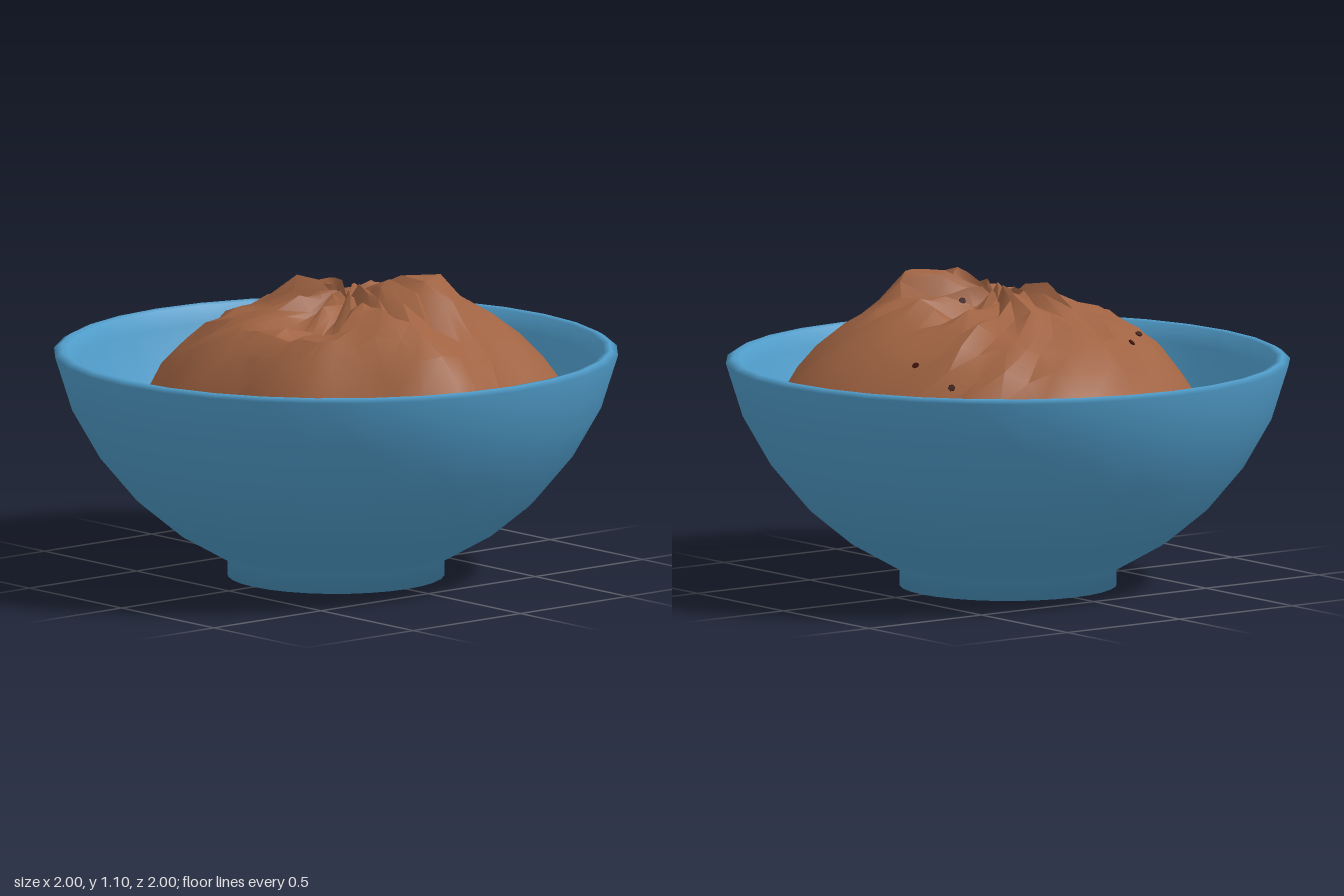
import * as THREE from 'three';
import { toCreasedNormals } from 'three/addons/utils/BufferGeometryUtils.js';

// Heap: pole position, outline radius every 15 degrees from +x towards +z
const CX = -0.03, CZ = 0.1;
const OUTLINE = [0.83, 0.85, 0.84, 0.81, 0.74, 0.75, 0.77, 0.80, 0.72, 0.71, 0.68, 0.64,
  0.63, 0.69, 0.73, 0.76, 0.77, 0.79, 0.81, 0.82, 0.80, 0.79, 0.80, 0.79];
// Heap cross-section: fraction of the outline radius, height
const SECTION = [[0.07, 1.015], [0.15, 1.015], [0.25, 1.005], [0.4, 0.975], [0.53, 0.94],
  [0.65, 0.895], [0.78, 0.82], [0.88, 0.73], [0.96, 0.64], [1, 0.56], [0.72, 0.27]];
// Lumps and hollows: x, z, height, width
const LUMPS = [[0.15, 0.38, 0.1, 0.09], [0.04, 0.3, 0.05, 0.1], [-0.27, 0.24, -0.08, 0.1],
  [-0.22, 0.42, 0.07, 0.1], [-0.45, 0.3, 0.06, 0.1], [-0.1, 0.78, 0.1, 0.12], [0.3, 0.26, 0.04, 0.12],
  [-0.07, -0.06, 0.04, 0.07], [0.17, 0.04, -0.05, 0.07], [0.25, -0.08, 0.03, 0.1], [-0.48, 0.02, 0.05, 0.09]];
const COLUMNS = 40;

function seeded(seed) {
  return () => {
    seed = (seed * 1664525 + 1013904223) >>> 0;
    return seed / 4294967296 - 0.5;
  };
}

function outlineAt(angle) {
  const f = ((angle / (Math.PI * 2)) * 24 + 24) % 24;
  const i = Math.floor(f);
  return THREE.MathUtils.lerp(OUTLINE[i % 24], OUTLINE[(i + 1) % 24], f - i);
}

function heapGeometry() {
  const random = seeded(11);
  const positions = [CX, 1.0, CZ];
  const index = [];
  SECTION.forEach(([t, height], ring) => {
    const rough = ring < 8 ? 1 : 0.35;
    for (let c = 0; c < COLUMNS; c++) {
      const twist = ring < 9 ? random() * 0.09 : 0;
      const angle = (c / COLUMNS) * Math.PI * 2 + twist;
      const r = outlineAt(angle) * (t + (ring < 8 ? random() * 0.035 : 0));
      const x = CX + Math.cos(angle) * r, z = CZ + Math.sin(angle) * r;
      let y = height + random() * 0.045 * rough;
      // pinched folds running out from the pole
      if (ring < 4) y += 0.022 * Math.sin(angle * 9 + ring * 0.4);
      for (const [lx, lz, h, w] of LUMPS) {
        if (ring < 9) y += h * Math.exp(-((x - lx) ** 2 + (z - lz) ** 2) / (2 * w * w));
      }
      positions.push(x, Math.min(y, 1.1), z);
    }
  });
  const at = (ring, c) => 1 + ring * COLUMNS + (c % COLUMNS);
  for (let c = 0; c < COLUMNS; c++) {
    index.push(0, at(0, c + 1), at(0, c));
    for (let ring = 0; ring < SECTION.length - 1; ring++) {
      const a = at(ring, c), b = at(ring, c + 1), d = at(ring + 1, c), e = at(ring + 1, c + 1);
      index.push(a, b, e, a, e, d);
    }
  }
  const geometry = new THREE.BufferGeometry();
  geometry.setAttribute('position', new THREE.Float32BufferAttribute(positions, 3));
  geometry.setIndex(index);
  return toCreasedNormals(geometry, 0.65);
}

export function createModel() {
  const blue = new THREE.MeshStandardMaterial({ color: 0x509dcb });
  blue.name = 'blue glaze';
  const brown = new THREE.MeshStandardMaterial({ color: 0xa06342 });
  brown.name = 'brown food';
  const dark = new THREE.MeshStandardMaterial({ color: 0x3c120a });
  dark.name = 'dark speck';

  const model = new THREE.Group();
  model.name = 'bowlOfFood';
  const add = (name, geometry, material) => {
    const mesh = new THREE.Mesh(geometry, material);
    mesh.name = name;
    model.add(mesh);
    return mesh;
  };

  // Bowl with foot, outer wall, rounded rim and inner wall
  const profile = [[0, 0], [0.385, 0], [0.385, 0.06], [0.57, 0.165], [0.71, 0.28], [0.84, 0.435],
    [0.94, 0.61], [1, 0.8], [0.975, 0.815], [0.95, 0.81], [0.925, 0.75], [0.88, 0.61],
    [0.79, 0.45], [0.66, 0.31], [0.52, 0.21], [0.34, 0.13], [0, 0.1]];
  add('bowl', new THREE.LatheGeometry(profile.map(([x, y]) => new THREE.Vector2(x, y)), 32), blue);

  // Lumpy heap filling the bowl
  const heap = add('foodHeap', heapGeometry(), brown);

  // Small dark specks resting on the heap surface
  const ray = new THREE.Raycaster();
  const down = new THREE.Vector3(0, -1, 0);
  for (const [x, z] of [[0.12, 0.11], [-0.36, -0.29], [0.48, -0.3], [-0.29, -0.34], [0.51, -0.13]]) {
    ray.set(new THREE.Vector3(x, 2, z), down);
    const hit = ray.intersectObject(heap)[0];
    if (!hit) continue;
    const speck = add('speck', new THREE.CylinderGeometry(0.013, 0.013, 0.008, 6), dark);
    speck.position.copy(hit.point);
    speck.quaternion.setFromUnitVectors(new THREE.Vector3(0, 1, 0), hit.face.normal);
  }
  return model;
}
